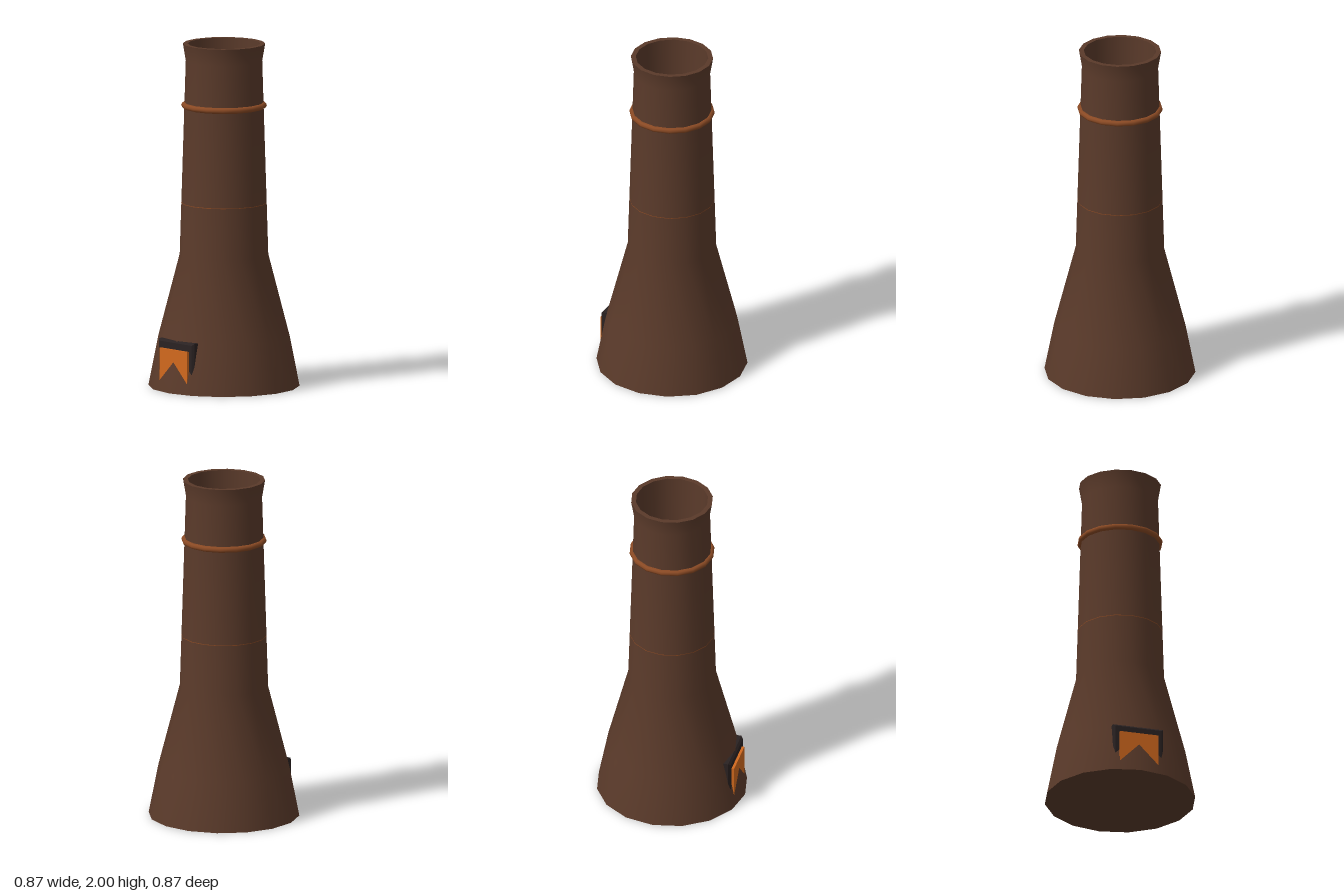
import * as THREE from 'three';

const SIDES = 16;

export function createModel() {
  const model = new THREE.Group();
  const brick = new THREE.MeshStandardMaterial({ name: 'brownBrick', color: 0x5a3a2a });
  const rust = new THREE.MeshStandardMaterial({ name: 'rust', color: 0x8b4a24 });
  const iron = new THREE.MeshStandardMaterial({ name: 'darkIron', color: 0x2a2222 });
  const glow = new THREE.MeshStandardMaterial({ name: 'orangeGlow', color: 0xd2691e });

  function add(name, geometry, material, x = 0, y = 0, z = 0) {
    const mesh = new THREE.Mesh(geometry, material);
    mesh.name = name;
    mesh.position.set(x, y, z);
    model.add(mesh);
    return mesh;
  }
  const lathe = (points) =>
    new THREE.LatheGeometry(points.map(([r, y]) => new THREE.Vector2(r, y)), SIDES);

  // Chimney: separate lathes keep the rim and base edges sharp
  add('base', lathe([[0, 0], [0.437, 0]]), brick);
  add('outerWall', lathe([[0.437, 0], [0.38, 0.29], [0.256, 0.77], [0.221, 1.9], [0.238, 2]]), brick);
  add('rim', lathe([[0.238, 2], [0.21, 2]]), brick);
  add('innerWall', lathe([[0.21, 2], [0.198, 1.7]]), brick);

  // Rust-coloured floor inside the flue
  add('flueFloor', lathe([[0.199, 1.7], [0, 1.7]]), rust);

  // Iron bands; the lower one barely breaks the wall surface
  for (const [name, y] of [['upperBand', 1.64], ['lowerBand', 1.07]]) {
    const band = add(name, new THREE.TorusGeometry(0.23, 0.0175, 8, SIDES), rust, 0, y, 0);
    band.rotation.x = Math.PI / 2;
  }

  // Furnace door frame with bevelled edges, sunk into the wall
  const bevel = 0.012;
  const w = 0.15 - bevel;
  const outline = new THREE.Shape();
  outline.moveTo(-w, 0.03);
  outline.lineTo(w, 0.03);
  outline.lineTo(w, 0.3 - bevel);
  outline.lineTo(-w, 0.3 - bevel);
  outline.closePath();
  const frame = new THREE.ExtrudeGeometry(outline, {
    depth: 0.08, bevelEnabled: true, bevelSize: bevel, bevelThickness: bevel, bevelSegments: 1,
  });
  add('doorFrame', frame, iron, 0, 0, 0.387 - 0.08 - bevel);

  // Glowing door plate
  add('doorGlow', new THREE.BoxGeometry(0.23, 0.21, 0.016), glow, 0, 0.145, 0.394);

  return model;
}
